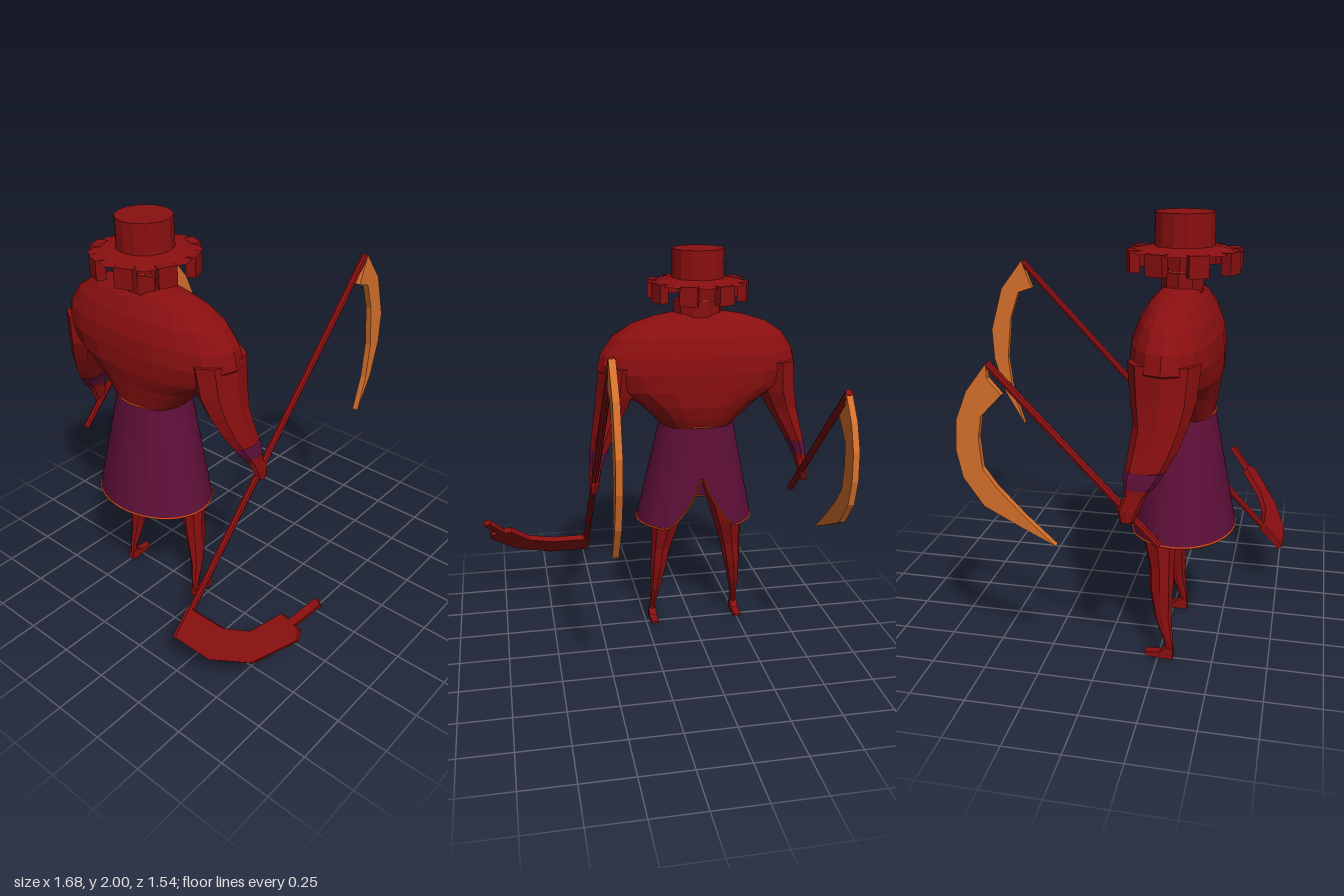
import * as THREE from 'three';

const CX = -0.27; // the figure stands left of the centre
const red = new THREE.MeshStandardMaterial({ color: 0x8a0f10 }); red.name = 'darkRed';
const purple = new THREE.MeshStandardMaterial({ color: 0x5e0f38, side: THREE.DoubleSide }); purple.name = 'purpleCloth';
const orange = new THREE.MeshStandardMaterial({ color: 0xd6702c }); orange.name = 'bladeOrange';
const trim = new THREE.MeshStandardMaterial({ color: 0xc8420f }); trim.name = 'trimOrange';

function flat(geo) {
  const g = geo.index ? geo.toNonIndexed() : geo;
  g.computeVertexNormals();
  return g;
}

function add(parent, name, geo, mat, x = 0, y = 0, z = 0) {
  const m = new THREE.Mesh(flat(geo), mat);
  m.name = name;
  m.position.set(x, y, z);
  parent.add(m);
  return m;
}

// Skin over horizontal rings of points, listed from bottom to top
function skin(rings, caps = true) {
  const n = rings[0].length, pos = rings.flat(2), idx = [];
  for (let i = 0; i < rings.length - 1; i++) {
    for (let j = 0; j < n; j++) {
      const a = i * n + j, b = i * n + (j + 1) % n;
      idx.push(a, a + n, b, b, a + n, b + n);
    }
  }
  if (caps) {
    const top = (rings.length - 1) * n;
    for (let j = 1; j < n - 1; j++) idx.push(0, j, j + 1, top, top + j + 1, top + j);
  }
  const g = new THREE.BufferGeometry();
  g.setAttribute('position', new THREE.Float32BufferAttribute(pos, 3));
  g.setIndex(idx);
  return g;
}

// Rings given as [x, y, z, halfX, halfZ]; power above 2 makes them boxier
function loft(rows, n, power = 2) {
  const f = (v) => Math.sign(v) * Math.abs(v) ** (2 / power);
  return skin(rows.map(([x, y, z, hx, hz]) => Array.from({ length: n }, (_, j) => {
    const t = (j / n) * Math.PI * 2;
    return [x + hx * f(Math.cos(t)), y, z + hz * f(Math.sin(t))];
  })));
}

const shape = (pts) => new THREE.Shape(pts.map(([a, b]) => new THREE.Vector2(a, b)));

// Plate from a side outline of [z, y] points, centred on x = 0
function sidePlate(pts, thick) {
  const g = new THREE.ExtrudeGeometry(shape(pts), { depth: thick, bevelEnabled: false });
  return g.translate(0, 0, -thick / 2).rotateY(-Math.PI / 2);
}

// Straight pole between two points
function pole(parent, name, a, b, r) {
  const p = new THREE.Vector3(...a), d = new THREE.Vector3(...b).sub(p);
  const m = add(parent, name, new THREE.CylinderGeometry(r, r, d.length(), 8), red);
  m.position.copy(p).addScaledVector(d, 0.5);
  m.quaternion.setFromUnitVectors(new THREE.Vector3(0, 1, 0), d.normalize());
}

function hat() {
  const g = new THREE.Group();
  g.name = 'hat';
  add(g, 'hatCrown', new THREE.CylinderGeometry(0.128, 0.13, 0.15, 14), red, 0, 1.925, 0);
  add(g, 'hatBrim', new THREE.CylinderGeometry(0.14, 0.25, 0.022, 8), red, 0, 1.85, 0);
  // flaps hanging under the middle of each brim edge
  for (let i = 0; i < 8; i++) {
    const a = Math.PI / 8 + (i * Math.PI) / 4;
    const m = add(g, 'brimFlap', new THREE.BoxGeometry(0.085, 0.092, 0.045), red, 0.222 * Math.sin(a), 1.801, 0.222 * Math.cos(a));
    m.rotation.y = a;
  }
  g.position.set(CX, 0, 0.305);
  return g;
}

function skirt(parent) {
  const n = 48, rows = 6, hem = [], waist = [], rings = [];
  for (let i = 0; i <= rows; i++) {
    const ring = [];
    for (let j = 0; j < n; j++) {
      const t = (j / n) * Math.PI * 2;
      const off = Math.abs(t - Math.PI * 1.5);
      // the hem rises into a notch on the -z side
      const low = 0.6 + 0.28 * Math.max(0, 1 - off / 0.65) ** 1.5;
      const y = low + (1.14 - low) * (i / rows), k = (1.14 - y) / 0.54;
      const p = [CX + (0.19 + 0.118 * k) * Math.cos(t), y, 0.298 + 0.024 * k + (0.16 + 0.08 * k) * Math.sin(t)];
      ring.push(p);
      if (i === 0) hem.push(new THREE.Vector3(...p));
      if (i === rows) waist.push(new THREE.Vector3(...p));
    }
    rings.push(ring);
  }
  add(parent, 'skirt', skin(rings, false), purple);
  const band = (pts) => new THREE.TubeGeometry(new THREE.CatmullRomCurve3(pts, true), 64, 0.005, 4, true);
  add(parent, 'skirtHemTrim', band(hem), trim);
  add(parent, 'waistTrim', band(waist), trim);
}

function limbs(parent, s, side) {
  const at = (rows) => rows.map(([x, ...r]) => [CX + s * x, ...r]);
  // arm from hand to shoulder
  add(parent, side + 'Arm', loft(at([
    [0.55, 0.82, 0.17, 0.018, 0.03], [0.545, 0.87, 0.175, 0.026, 0.045],
    [0.535, 0.93, 0.2, 0.03, 0.045], [0.52, 1.0, 0.225, 0.042, 0.075],
    [0.485, 1.1, 0.26, 0.06, 0.098], [0.448, 1.2, 0.285, 0.08, 0.112],
    [0.415, 1.3, 0.29, 0.1, 0.135], [0.4, 1.45, 0.29, 0.1, 0.15],
  ]), 8), red);
  add(parent, side + 'Cuff', loft(at([
    [0.53, 0.96, 0.212, 0.037, 0.061], [0.52, 1.0, 0.225, 0.044, 0.077], [0.509, 1.03, 0.236, 0.049, 0.084],
  ]), 8), purple);
  // leg from ankle to hip
  add(parent, side + 'Leg', loft(at([
    [0.23, 0.03, 0.303, 0.016, 0.017], [0.228, 0.08, 0.3, 0.015, 0.02],
    [0.218, 0.2, 0.27, 0.026, 0.038], [0.2, 0.35, 0.257, 0.045, 0.055],
    [0.188, 0.45, 0.255, 0.053, 0.056], [0.165, 0.6, 0.24, 0.078, 0.08],
    [0.12, 0.8, 0.25, 0.09, 0.095], [0.09, 1.0, 0.28, 0.09, 0.11],
  ]), 8), red);
  add(parent, side + 'Foot', sidePlate(
    [[0.32, 0.005], [0.22, 0.01], [0.192, 0.02], [0.192, 0.033], [0.26, 0.038], [0.29, 0.065], [0.322, 0.05]], 0.038,
  ), red, CX + s * 0.23);
}

function scythes(parent) {
  // long scythe in the left hand
  const long = new THREE.Group();
  long.name = 'longScythe';
  pole(long, 'longPole', [0.277, 0.245, 0.76], [0.277, 1.685, -0.597], 0.017);
  add(long, 'longBlade', sidePlate([
    [-0.6, 1.69], [-0.71, 1.545], [-0.77, 1.33], [-0.762, 1.175], [-0.71, 1.0], [-0.612, 0.83],
    [-0.667, 1.0], [-0.688, 1.18], [-0.667, 1.39], [-0.62, 1.53], [-0.605, 1.6], [-0.547, 1.555], [-0.59, 1.62],
  ].filter((p, i) => i !== 10 && i !== 12), 0.03), orange, 0.277);
  // curved foot plate and its grip, lying in the slanted plane of the pole
  const foot = new THREE.Group();
  foot.name = 'curvedEnd';
  const plate = new THREE.ExtrudeGeometry(shape([
    [0.26, 0], [0.48, 0], [0.67, 0.085], [0.815, 0.265], [0.805, 0.31], [0.7, 0.335], [0.6, 0.2], [0.47, 0.148], [0.26, 0.148],
  ]), { depth: 0.03, bevelEnabled: false });
  add(foot, 'curvedPlate', plate, red, 0, 0, -0.015);
  const grip = add(foot, 'gripPeg', new THREE.BoxGeometry(0.036, 0.19, 0.028), red, 0.782, 0.37, 0);
  grip.rotation.z = -0.48;
  foot.position.set(0, 0.24, 0.762);
  foot.rotation.x = -0.755;
  long.add(foot);
  // short scythe in the right hand
  const short = new THREE.Group();
  short.name = 'shortScythe';
  pole(short, 'shortPole', [-0.803, 0.72, 0.3], [-0.803, 1.445, -0.4], 0.017);
  add(short, 'shortBlade', sidePlate([
    [-0.4, 1.445], [-0.487, 1.33], [-0.535, 1.21], [-0.545, 1.075], [-0.52, 0.955], [-0.434, 0.833], [-0.26, 0.743],
    [-0.13, 0.68], [-0.26, 0.8], [-0.376, 0.92], [-0.434, 1.0], [-0.445, 1.13], [-0.43, 1.225], [-0.34, 1.32], [-0.397, 1.385],
  ], 0.03), orange, -0.803);
  parent.add(long, short);
}

export function createModel() {
  const model = new THREE.Group();
  model.name = 'reaperFigure';
  // broad torso and shoulders
  add(model, 'torso', loft([
    [CX, 1.13, 0.298, 0.185, 0.156], [CX, 1.18, 0.292, 0.235, 0.17], [CX, 1.25, 0.288, 0.31, 0.185],
    [CX, 1.33, 0.293, 0.44, 0.195], [CX, 1.42, 0.293, 0.51, 0.195], [CX, 1.5, 0.293, 0.49, 0.185],
    [CX, 1.58, 0.293, 0.435, 0.155], [CX, 1.64, 0.293, 0.345, 0.118], [CX, 1.675, 0.295, 0.235, 0.085],
    [CX, 1.695, 0.297, 0.11, 0.07],
  ], 20, 2.25), red);
  // neck and head under the hat
  add(model, 'neck', loft([[CX, 1.66, 0.3, 0.12, 0.092], [CX, 1.755, 0.3, 0.12, 0.092]], 10), red);
  add(model, 'collarTrim', loft([[CX, 1.753, 0.3, 0.1, 0.088], [CX, 1.759, 0.3, 0.1, 0.088]], 10), trim);
  add(model, 'head', loft([[CX, 1.755, 0.3, 0.095, 0.085], [CX, 1.85, 0.3, 0.1, 0.095]], 10), red);
  model.add(hat());
  skirt(model);
  limbs(model, 1, 'left');
  limbs(model, -1, 'right');
  scythes(model);
  return model;
}
